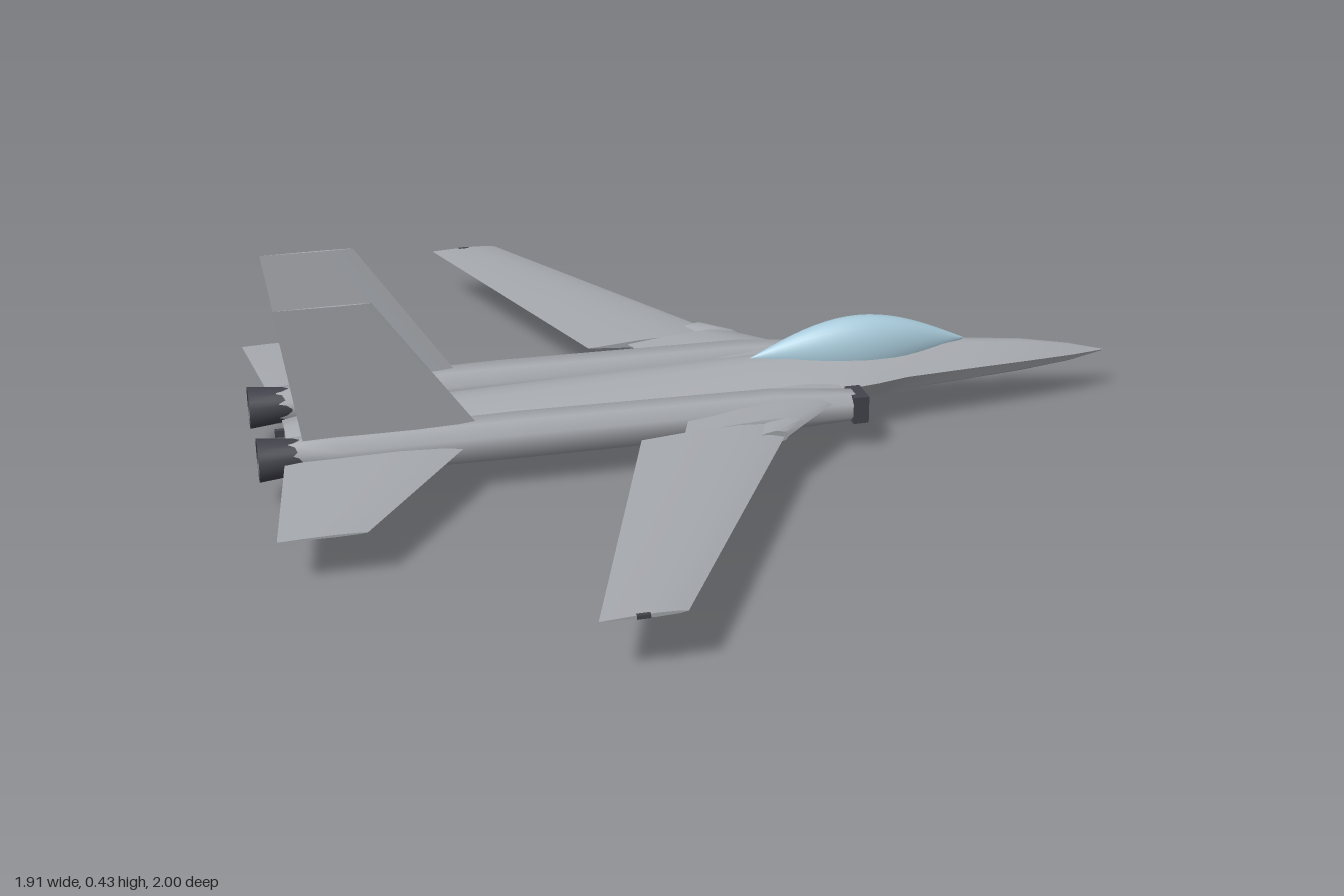
import * as THREE from 'three';
import { toCreasedNormals } from 'three/addons/utils/BufferGeometryUtils.js';

const grey = new THREE.MeshStandardMaterial({ color: 0xa6a9ae });
grey.name = 'airframe grey';
const dark = new THREE.MeshStandardMaterial({ color: 0x44454d });
dark.name = 'dark metal';
const glass = new THREE.MeshStandardMaterial({ color: 0xa9cbdb });
glass.name = 'canopy blue';

// Closed solid through equal-length rings of [x, y, z]; faces always point outwards.
function loft(rings, crease = 0.6) {
  const n = rings[0].length;
  const pts = rings.flat().map((p) => new THREE.Vector3(...p));
  const tris = [];
  for (let r = 0; r < rings.length - 1; r++) {
    for (let i = 0; i < n; i++) {
      const a = r * n + i, b = r * n + (i + 1) % n;
      tris.push([a, b, a + n], [b, b + n, a + n]);
    }
  }
  const last = (rings.length - 1) * n;
  for (let i = 1; i < n - 1; i++) tris.push([0, i + 1, i], [last, last + i, last + i + 1]);
  let volume = 0;
  const c = new THREE.Vector3();
  for (const [a, b, d] of tris) volume += pts[a].dot(c.crossVectors(pts[b], pts[d]));
  const pos = [];
  for (const [a, b, d] of tris) {
    for (const k of volume < 0 ? [a, d, b] : [a, b, d]) pos.push(...pts[k].toArray());
  }
  const g = new THREE.BufferGeometry();
  g.setAttribute('position', new THREE.Float32BufferAttribute(pos, 3));
  return toCreasedNormals(g, crease);
}

// Lens-shaped section: [fraction of chord from trailing edge, fraction of half thickness]
const FOIL = [[0, 0], [0.35, 0.7], [0.65, 1], [0.9, 0.65], [1, 0], [0.9, -0.65], [0.65, -1], [0.35, -0.7]];

// Each station: [trailing x, leading x, y, z, thickness]
function surface(stations, upright = false) {
  return loft(stations.map(([x0, x1, y, z, t]) => FOIL.map(([u, v]) => {
    const x = x0 + (x1 - x0) * u, d = v * t / 2;
    return upright ? [x, y, z + d] : [x, y + d, z];
  })));
}

export function createModel() {
  const model = new THREE.Group();
  const add = (name, geometry, material, parent = model) => {
    const m = new THREE.Mesh(geometry, material);
    m.name = name;
    parent.add(m);
    return m;
  };

  // Fuselage stations: [x, half width, top, chine height, bottom]
  const half = [[0, 1], [0.22, 0.95], [0.6, 0.5], [1, 0], [0.85, -0.65], [0.45, -1]];
  const outline = [...half, ...half.slice(1).reverse().map(([u, v]) => [-u, v])];
  const body = [
    [-0.895, 0.06, 0.115, 0.103, 0.09],
    [-0.82, 0.088, 0.13, 0.105, 0.078],
    [-0.65, 0.105, 0.142, 0.108, 0.066],
    [-0.3, 0.115, 0.152, 0.112, 0.061],
    [0.1, 0.122, 0.163, 0.117, 0.06],
    [0.3, 0.122, 0.168, 0.12, 0.063],
    [0.38, 0.108, 0.168, 0.12, 0.067],
    [0.45, 0.09, 0.167, 0.12, 0.07],
    [0.6, 0.074, 0.16, 0.118, 0.075],
    [0.75, 0.053, 0.145, 0.113, 0.08],
    [0.87, 0.028, 0.123, 0.106, 0.087],
    [0.955, 0.002, 0.101, 0.1, 0.098],
  ];
  add('fuselage', loft(body.map(([x, w, top, mid, bot]) => outline.map(
    ([u, v]) => [x, mid + v * (v > 0 ? top - mid : mid - bot), u * w]))), grey);

  // Canopy: pointed spindle half sunk into the spine
  const spindle = [];
  for (let i = 0; i <= 20; i++) {
    spindle.push(new THREE.Vector2(Math.max(0.0005, Math.sin(Math.PI * i / 20)), i / 10 - 1));
  }
  const canopy = add('canopy', new THREE.LatheGeometry(spindle, 28), glass);
  canopy.rotation.z = -Math.PI / 2;
  canopy.scale.set(0.076, 0.25, 0.051);
  canopy.position.set(0.365, 0.163, 0);

  add('tailVent', new THREE.BoxGeometry(0.025, 0.015, 0.012), dark).position.set(-0.902, 0.1, 0);

  // Nacelle stations: [x, half width, half height, centre y, centre z]
  const nacelle = [
    [-0.9, 0.034, 0.035, 0.105, 0.138], [-0.8, 0.04, 0.04, 0.105, 0.142],
    [-0.42, 0.048, 0.043, 0.105, 0.144], [0.13, 0.046, 0.04, 0.101, 0.146],
    [0.305, 0.034, 0.03, 0.096, 0.15],
  ];
  const octagon = [[1, 0.45], [0.5, 1], [-0.5, 1], [-1, 0.45], [-1, -0.45], [-0.5, -1], [0.5, -1], [1, -0.45]];

  for (const s of [1, -1]) {
    const side = new THREE.Group();
    side.name = s > 0 ? 'rightHalf' : 'leftHalf';
    model.add(side);
    const mirror = (stations) => stations.map(([x0, x1, y, z, t]) => [x0, x1, y, z * s, t]);

    add('engineNacelle', loft(nacelle.map(([x, w, h, y, z]) => octagon.map(
      ([u, v]) => [x, y + v * h, (z + u * w) * s])), 0.9), grey, side);

    // Intake frame around an open mouth
    const square = new THREE.Shape([[-0.034, -0.03], [0.034, -0.03], [0.034, 0.03], [-0.034, 0.03]]
      .map((p) => new THREE.Vector2(...p)));
    square.holes.push(new THREE.Path([[-0.025, -0.021], [-0.025, 0.021], [0.025, 0.021], [0.025, -0.021]]
      .map((p) => new THREE.Vector2(...p))));
    const intake = add('intakeFrame', new THREE.ExtrudeGeometry(square, { depth: 0.034, bevelEnabled: false }), dark, side);
    intake.rotation.y = Math.PI / 2;
    intake.position.set(0.295, 0.096, 0.153 * s);
    add('intakeDuct', new THREE.BoxGeometry(0.01, 0.045, 0.053), dark, side).position.set(0.304, 0.096, 0.153 * s);

    // Flared exhaust nozzle with a recessed bore
    const nozzle = add('exhaustNozzle', new THREE.LatheGeometry([
      [0, -0.03], [0.033, -0.03], [0.04, 0.045], [0.045, 0.045], [0.036, -0.045], [0, -0.045],
    ].reverse().map((p) => new THREE.Vector2(...p)), 20), dark, side);
    nozzle.geometry = toCreasedNormals(nozzle.geometry, 0.6);
    nozzle.rotation.z = Math.PI / 2;
    nozzle.position.set(-0.914, 0.105, 0.139 * s);

    // Fixed wing glove and swinging outer panel
    add('wingGlove', surface(mirror([
      [-0.04, 0.33, 0.115, 0.1, 0.036], [-0.1, 0.165, 0.117, 0.264, 0.032],
      [0.04, 0.163, 0.117, 0.266, 0.032], [0.03, 0.11, 0.118, 0.32, 0.028],
    ])), grey, side);
    add('wing', surface(mirror([
      [-0.19, 0.132, 0.116, 0.262, 0.024], [-0.44, -0.28, 0.123, 0.998, 0.008],
    ])), grey, side);
    add('wingTipLight', new THREE.BoxGeometry(0.025, 0.008, 0.008), dark, side).position.set(-0.36, 0.123, 0.996 * s);

    // Tail surfaces
    add('tailplane', surface(mirror([
      [-0.905, -0.52, 0.106, 0.15, 0.018], [-0.95, -0.78, 0.101, 0.51, 0.005],
    ])), grey, side);
    add('tailFin', surface(mirror([
      [-0.865, -0.5, 0.125, 0.147, 0.022], [-0.91, -0.715, 0.434, 0.17, 0.006],
    ]), true), grey, side);
    add('ventralFin', surface(mirror([
      [-0.825, -0.57, 0.08, 0.144, 0.014], [-0.82, -0.68, 0.002, 0.15, 0.004],
    ]), true), grey, side);
  }
  return model;
}
